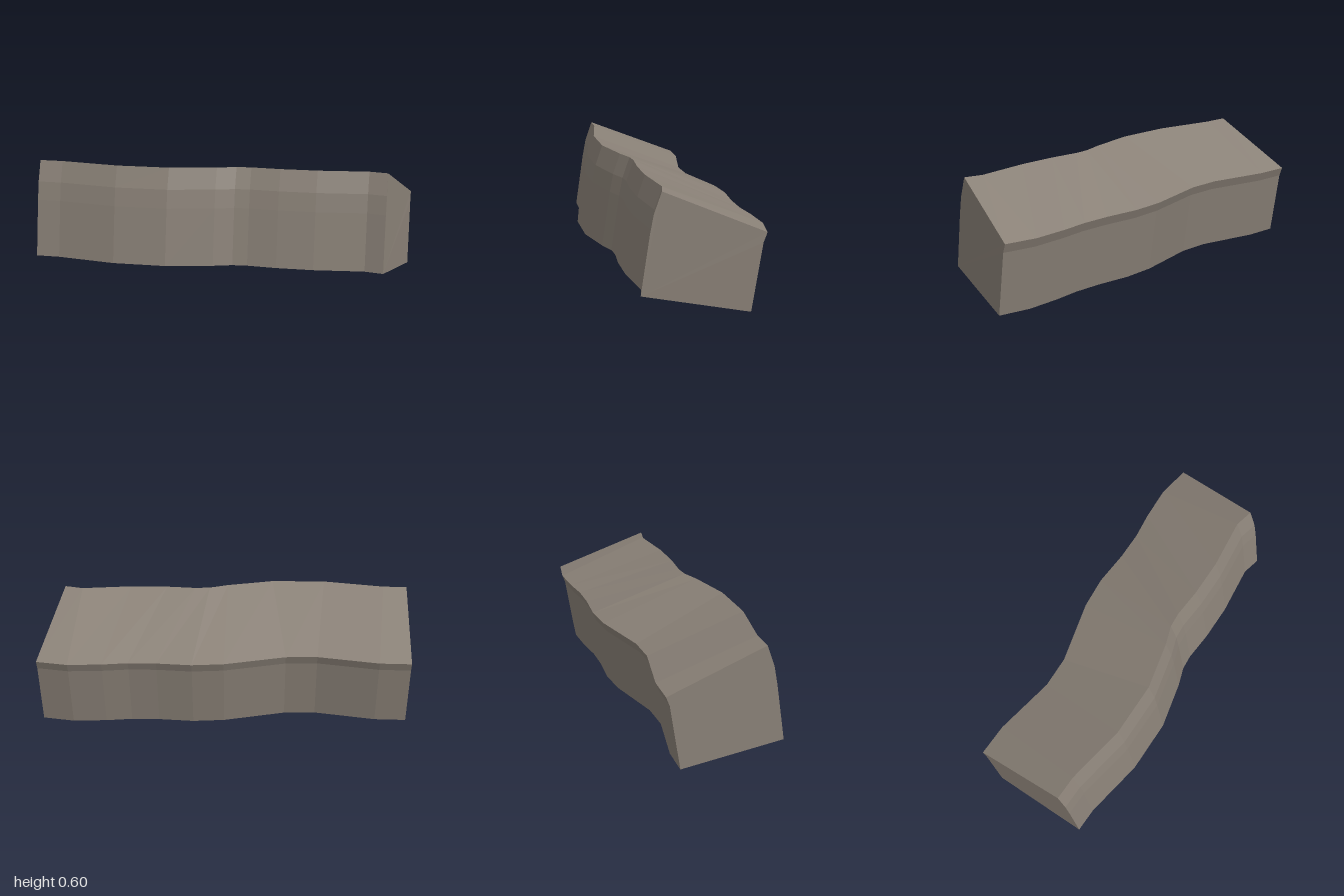
import * as THREE from 'three';

// Stations along the wall: [x, z] of the upper front edge and the upper back edge
const FRONT = [[-1, 0.22], [-0.87, 0.22], [-0.54, 0.27], [-0.25, 0.262], [0, 0.2], [0.1, 0.164],
  [0.18, 0.156], [0.34, 0.165], [0.54, 0.16], [0.81, 0.125], [0.91, 0.146]];
const BACK = [[-1, -0.29], [-0.83, -0.29], [-0.5, -0.236], [-0.33, -0.245], [0, -0.335], [0.17, -0.353],
  [0.36, -0.343], [0.51, -0.347], [0.65, -0.367], [0.83, -0.38], [1, -0.355]];

// Cross-section: [z offset from the upper edge, y], front going up then back going down
const FRONT_PROFILE = [[0.105, 0.083], [0.059, 0.39], [0.04, 0.49], [0, 0.603]];
const BACK_PROFILE = [[0, 0.4], [0.019, 0.35], [0.074, 0]];

function createWall() {
  const rings = FRONT.map(([fx, fz], i) => {
    const [bx, bz] = BACK[i];
    return [
      ...FRONT_PROFILE.map(([dz, y]) => [fx, y, fz + dz]),
      ...BACK_PROFILE.map(([dz, y]) => [bx, y, bz + dz]),
    ];
  });
  const n = rings[0].length;
  const positions = [];
  const tri = (a, b, c) => positions.push(...a, ...b, ...c);

  // Skin between neighbouring sections
  for (let i = 0; i < rings.length - 1; i++) {
    for (let j = 0; j < n; j++) {
      const k = (j + 1) % n;
      const a = rings[i][j], b = rings[i + 1][j], c = rings[i + 1][k], d = rings[i][k];
      tri(a, b, c);
      tri(a, c, d);
    }
  }

  // Flat end faces
  const first = rings[0], last = rings[rings.length - 1];
  for (let j = 1; j < n - 1; j++) {
    tri(first[0], first[j], first[j + 1]);
    tri(last[0], last[j + 1], last[j]);
  }

  const geometry = new THREE.BufferGeometry();
  geometry.setAttribute('position', new THREE.Float32BufferAttribute(positions, 3));
  geometry.computeVertexNormals(); // unshared corners give flat facets
  return geometry;
}

export function createModel() {
  const stone = new THREE.MeshStandardMaterial({ color: 0x8a8177 });
  stone.name = 'stone';
  const wall = new THREE.Mesh(createWall(), stone);
  wall.name = 'wavyStoneBlock';
  const group = new THREE.Group();
  group.name = 'stoneSegment';
  group.add(wall);
  return group;
}
